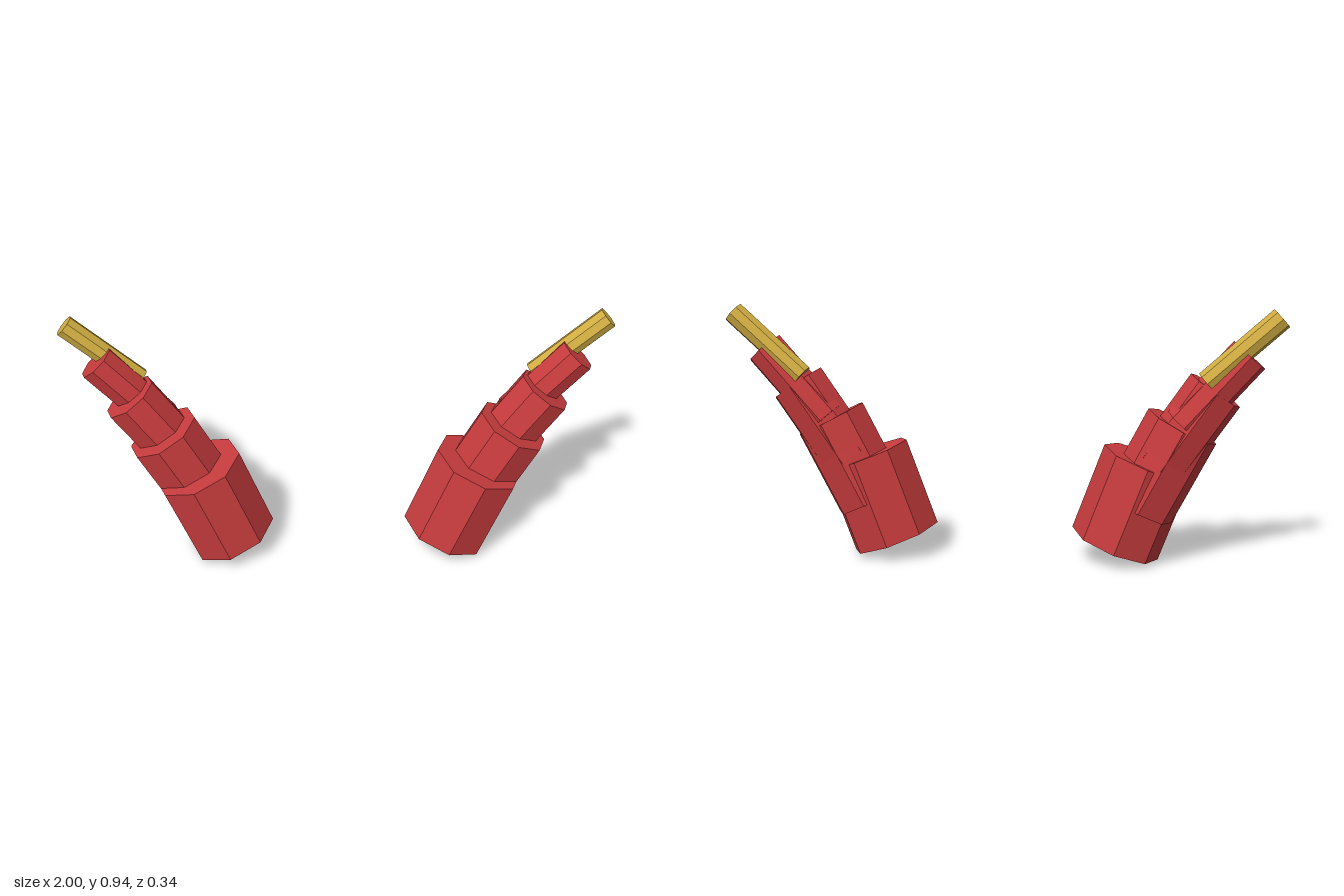
import * as THREE from 'three';

const LENGTH = 0.335;

// Each section: top centre x, y, z, radius, outward lean in degrees
const SECTIONS = [
  ['baseSection', 0.528, 0.373, 0, 0.169, 20],
  ['secondSection', 0.648, 0.511, -0.031, 0.137, 27],
  ['thirdSection', 0.759, 0.648, -0.063, 0.105, 34],
  ['fourthSection', 0.869, 0.779, -0.095, 0.073, 41],
  ['goldTip', 0.971, 0.911, -0.127, 0.041, 47.5],
];

export function createModel() {
  const red = new THREE.MeshStandardMaterial({ color: 0xc93c3e, flatShading: true });
  red.name = 'red';
  const gold = new THREE.MeshStandardMaterial({ color: 0xd3af43, flatShading: true });
  gold.name = 'gold';

  const model = new THREE.Group();
  model.name = 'steppedHorns';

  // A mirrored pair of curved horns made of overlapping octagonal prisms
  for (const side of [1, -1]) {
    const horn = new THREE.Group();
    horn.name = side > 0 ? 'leftHorn' : 'rightHorn';
    for (const [name, x, y, z, radius, lean] of SECTIONS) {
      const geometry = new THREE.CylinderGeometry(radius, radius, LENGTH, 8);
      geometry.translate(0, -LENGTH / 2, 0); // pivot at the top centre
      const section = new THREE.Mesh(geometry, name === 'goldTip' ? gold : red);
      section.name = name;
      section.position.set(side * x, y, z);
      section.rotation.z = -side * THREE.MathUtils.degToRad(lean);
      horn.add(section);
    }
    model.add(horn);
  }
  return model;
}
